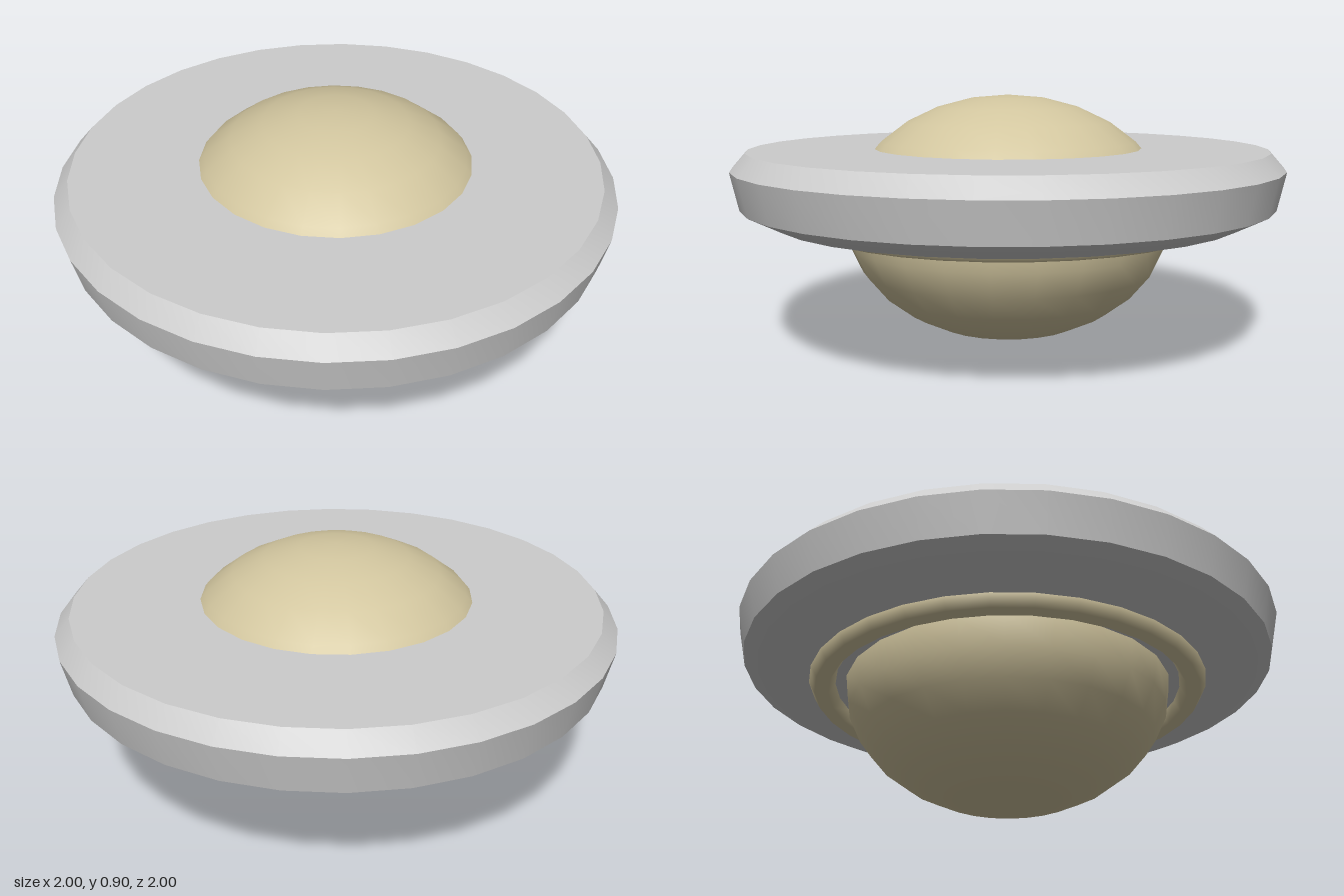
import * as THREE from 'three';
import { toCreasedNormals } from 'three/addons/utils/BufferGeometryUtils.js';

export function createModel() {
  const model = new THREE.Group();
  model.name = 'saucer';

  const grey = new THREE.MeshStandardMaterial({ color: 0xcccccc });
  grey.name = 'hull grey';
  const tan = new THREE.MeshStandardMaterial({ color: 0xd2c69f });
  tan.name = 'sand';

  function add(name, geometry, material, y = 0) {
    const mesh = new THREE.Mesh(geometry, material);
    mesh.name = name;
    mesh.position.y = y;
    model.add(mesh);
  }

  // Bevelled disc; its inner rim is hidden inside the core
  const profile = [
    [0.3, 0.455], [0.86, 0.455], [0.97, 0.51], [1, 0.645], [0.945, 0.708], [0.3, 0.708],
  ].map(([r, y]) => new THREE.Vector2(r, y));
  add('disc', toCreasedNormals(new THREE.LatheGeometry(profile, 32), Math.PI / 6), grey);

  // Flattened ball through the middle, forming the dome and the belly
  const core = new THREE.SphereGeometry(0.6, 24, 14);
  core.scale(1, 0.75, 1);
  add('core', core, tan, 0.452);

  // Six-sided ring half sunk into the underside
  const ring = new THREE.TorusGeometry(0.685, 0.05, 6, 32);
  ring.rotateX(Math.PI / 2);
  add('undersideRing', ring, tan, 0.458);

  return model;
}
